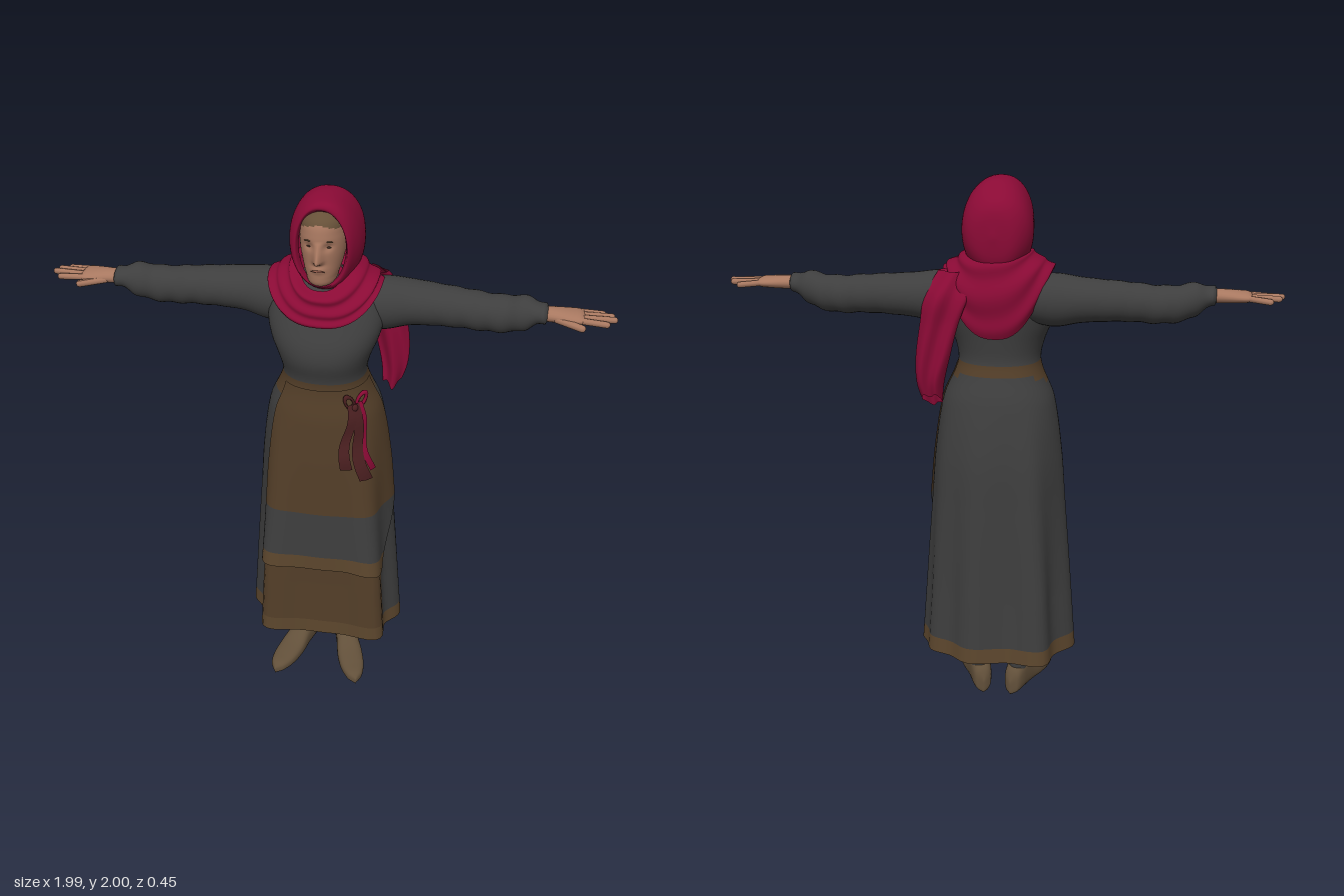
import * as THREE from 'three';
import { mergeVertices } from 'three/addons/utils/BufferGeometryUtils.js';

const mat = (name, color, side = THREE.FrontSide) => {
  const m = new THREE.MeshStandardMaterial({ color, side });
  m.name = name;
  return m;
};
const TAU = Math.PI * 2, RAD = Math.PI / 180;
const range = (a, b, n) => Array.from({ length: n + 1 }, (_, i) => a + (b - a) * i / n);
const spow = (v, e) => Math.sign(v) * Math.abs(v) ** e;
const clamp = THREE.MathUtils.clamp;

// Smooth interpolation of table rows; the first column is the ascending key
function sample(table, key) {
  let i = 0;
  while (i < table.length - 2 && key > table[i + 1][0]) i++;
  const p = table[i], q = table[i + 1];
  const o = table[Math.max(i - 1, 0)], r = table[Math.min(i + 2, table.length - 1)];
  const h = q[0] - p[0], t = clamp((key - p[0]) / h, 0, 1), t2 = t * t, t3 = t2 * t;
  return p.map((_, c) => {
    const m0 = (q[c] - o[c]) / (q[0] - o[0]) * h, m1 = (r[c] - p[c]) / (r[0] - p[0]) * h;
    return (2 * t3 - 3 * t2 + 1) * p[c] + (t3 - 2 * t2 + t) * m0 + (3 * t2 - 2 * t3) * q[c] + (t3 - t2) * m1;
  });
}

// Grid surface f(u, v) -> [x, y, z]; pick(u, v) chooses the colour group of each cell
function surface(f, us, vs, pick = () => 0) {
  const pos = vs.flatMap(v => us.flatMap(u => f(u, v)));
  const buckets = [], n = us.length;
  for (let j = 0; j < vs.length - 1; j++) for (let i = 0; i < n - 1; i++) {
    const k = pick((us[i] + us[i + 1]) / 2, (vs[j] + vs[j + 1]) / 2), a = j * n + i;
    (buckets[k] ??= []).push(a, a + n, a + 1, a + 1, a + n, a + n + 1);
  }
  let g = new THREE.BufferGeometry();
  g.setAttribute('position', new THREE.Float32BufferAttribute(pos, 3));
  g.setIndex(buckets.flat());
  let start = 0;
  buckets.forEach((b, k) => { g.addGroup(start, b.length, k); start += b.length; });
  g = mergeVertices(g);
  g.computeVertexNormals();
  return g;
}

// Copy reflected across x = 0 with corner order restored
function mirrored(geo) {
  const g = geo.clone().scale(-1, 1, 1), ix = g.index.array;
  for (let i = 0; i < ix.length; i += 3) [ix[i + 1], ix[i + 2]] = [ix[i + 2], ix[i + 1]];
  g.computeVertexNormals();
  return g;
}

// Dress rows: height, half width, front z, back z
const DRESS = [
  [0.20, 0.300, 0.200, -0.225], [0.50, 0.277, 0.195, -0.210], [0.80, 0.252, 0.190, -0.197],
  [1.00, 0.235, 0.185, -0.185], [1.20, 0.203, 0.172, -0.150], [1.30, 0.160, 0.160, -0.118],
  [1.35, 0.150, 0.162, -0.105], [1.42, 0.166, 0.182, -0.110], [1.48, 0.190, 0.176, -0.118],
  [1.55, 0.203, 0.147, -0.127], [1.62, 0.175, 0.115, -0.125], [1.68, 0.120, 0.075, -0.100],
  [1.70, 0.050, 0.040, -0.060],
];
// Skirt folds: angle in degrees, strength
const FOLDS = [[0, 0.14], [48, 0.27], [127, 0.27], [180, 0.14], [237, 0.24], [283, 0.18], [325, 0.12]];
function dressPoint(a, y, off = 0) {
  const [, w, f, b] = sample(DRESS, y);
  const swell = FOLDS.reduce((s, [d, k]) => {
    const gap = Math.acos(clamp(Math.cos(a - d * RAD), -1, 1)) / RAD;
    return s + k * Math.exp(-((gap / 16) ** 2));
  }, -0.14);
  const fold = 1 + swell * clamp((1.2 - y) / 0.75, 0, 1);
  return [
    (w * fold + off * 0.4) * spow(Math.cos(a), 0.9) + 0.005, y,
    (f + b) / 2 + ((f - b) / 2 * fold + off) * spow(Math.sin(a), 0.9),
  ];
}
const dressFront = (x, y, off) =>
  dressPoint(Math.acos(spow(x / sample(DRESS, y)[1], 1 / 0.9)), y, off);

// Head rows: height, half width, front z, back z
const HEAD = [
  [1.685, 0.012, 0.085, 0.04], [1.70, 0.044, 0.120, -0.02], [1.73, 0.056, 0.131, -0.05],
  [1.77, 0.068, 0.131, -0.07], [1.82, 0.077, 0.134, -0.08], [1.88, 0.079, 0.134, -0.08],
  [1.93, 0.070, 0.118, -0.06], [1.96, 0.020, 0.070, 0.00],
];
const bump = (x, y, cx, cy, sx, sy) => Math.exp(-(((x - cx) / sx) ** 2) - ((y - cy) / sy) ** 2);
function headPoint(a, y) {
  const [, w, f, b] = sample(HEAD, y);
  const x = w * Math.cos(a);
  let z = (f + b) / 2 + (f - b) / 2 * spow(Math.sin(a), 0.9);
  if (Math.sin(a) > 0) {
    const ridge = y > 1.797 ? clamp((1.865 - y) / 0.068, 0, 1) : clamp((y - 1.78) / 0.017, 0, 1);
    z += 0.04 * ridge * Math.exp(-((x / 0.014) ** 2)) + 0.008 * bump(x, y, 0, 1.762, 0.025, 0.012);
    z -= 0.01 * (bump(x, y, 0.032, 1.845, 0.016, 0.013) + bump(x, y, -0.032, 1.845, 0.016, 0.013));
  }
  return [x, y, z];
}

export function createModel() {
  const root = new THREE.Group();
  const D = THREE.DoubleSide;
  const grey = mat('charcoal cloth', 0x3e3e3e, D), brown = mat('brown cloth', 0x533e28, D);
  const trim = mat('trim brown', 0x5c462d, D), red = mat('crimson cloth', 0x8a0a35, D);
  const maroon = mat('dark ribbon', 0x4a1f20, D), skin = mat('skin', 0xa87860);
  const hair = mat('hair', 0x665038), shoe = mat('shoe leather', 0x62503a);
  const dark = mat('eye', 0x4a352a), lip = mat('lips', 0x8f5a4a);
  const add = (name, geo, m, parent = root) => {
    const mesh = new THREE.Mesh(geo, m);
    mesh.name = name;
    parent.add(mesh);
    return mesh;
  };
  const pair = (name, geo, m) => {
    add('left' + name, geo, m);
    add('right' + name, mirrored(geo), m);
  };
  const ring = range(0, TAU, 72);

  // Dress: bodice, waistband, skirt with front panel and hem
  add('dress', surface(dressPoint, ring, range(0.2, 1.7, 75), (a, y) => {
    if (y > 1.34) return 0;
    if (y < 0.26) return 2;
    const band = y > 1.26 + 0.05 * clamp(-Math.sin(a), 0, 1);
    return band || (a > 30 * RAD && a < 135 * RAD) ? 1 : 0;
  }), [grey, brown, trim]);

  // Apron with a grey band and a trimmed lower edge; its left edge sweeps forward at the bottom
  const apronOff = y => 0.01 + 0.018 * (1.32 - y) / 0.78;
  add('apron', surface((t, y) => {
    const first = 30 * clamp((0.8 - y) / 0.26, 0, 1);
    const a = (first + (140 - first) * t) * RAD;
    const p = dressPoint(a, y, apronOff(y));
    p[1] -= 0.03 * clamp((0.8 - y) / 0.26, 0, 1) * clamp(1 - t * 3, 0, 1);
    return p;
  }, range(0, 1, 46), range(0.54, 1.32, 39), (t, y) => (y > 0.8 ? 0 : y > 0.6 ? 1 : 2)), [brown, grey, trim]);

  // Ribbon bow at the waist
  const bow = new THREE.Group();
  bow.name = 'waistBow';
  root.add(bow);
  const ribbon = (x0, x1, y1, off, width, m) => add('ribbonTail', surface((u, t) => {
    const y = 1.27 + (y1 - 1.27) * t;
    const x = x0 + (x1 - x0) * t + 0.008 * Math.sin(t * 7) + u * width * (1 + 0.6 * t);
    return dressFront(x, y, apronOff(y) + off + 0.006 * Math.sin(t * 9));
  }, [-1, 0, 1], range(0, 1, 14)), m, bow);
  ribbon(0.12, 0.158, 0.97, 0.018, 0.012, maroon);
  ribbon(0.11, 0.098, 1.02, 0.020, 0.012, maroon);
  ribbon(0.135, 0.180, 1.0, 0.012, 0.006, red);
  for (const [x, tilt, m] of [[0.105, 0.5, maroon], [0.14, -0.5, red]]) {
    const loop = add('bowLoop', new THREE.TorusGeometry(0.024, 0.008, 8, 20), m, bow);
    loop.position.set(...dressFront(x, 1.275, 0.022));
    loop.rotation.set(0, 0.6, tilt);
    loop.scale.set(0.6, 1.2, 1);
  }
  const knot = add('bowKnot', new THREE.SphereGeometry(0.015, 12, 8), maroon, bow);
  knot.position.set(...dressFront(0.12, 1.255, 0.022));

  // Sleeves: x, centre y, centre z, vertical radius, depth radius
  const SLEEVE = [
    [0.10, 1.580, -0.040, 0.080, 0.080], [0.20, 1.577, -0.045, 0.095, 0.092],
    [0.30, 1.582, -0.055, 0.080, 0.083], [0.45, 1.580, -0.050, 0.070, 0.072],
    [0.60, 1.573, -0.045, 0.066, 0.064], [0.69, 1.590, -0.032, 0.060, 0.058],
    [0.73, 1.600, -0.022, 0.038, 0.047], [0.765, 1.603, -0.015, 0.030, 0.042],
    [0.767, 1.603, -0.015, 0.015, 0.020],
  ];
  pair('Sleeve', surface((a, x) => {
    const [, y, z, ry, rz] = sample(SLEEVE, x);
    const k = 1 + 0.04 * clamp((x - 0.3) / 0.3, 0, 1) * Math.sin(75 * x + 2 * Math.cos(a + 1));
    return [x, y + ry * k * Math.cos(a), z - rz * k * Math.sin(a)];
  }, range(0, TAU, 28), range(0.1, 0.767, 70)), grey);

  // Hands: palm, four fingers and a thumb
  const PALM = [
    [0.74, 0.025, 0.032], [0.79, 0.024, 0.038], [0.84, 0.021, 0.048],
    [0.875, 0.017, 0.048], [0.89, 0.003, 0.035],
  ];
  pair('Palm', surface((a, x) => {
    const [, ry, rz] = sample(PALM, x);
    return [x, 1.603 + ry * Math.cos(a), -0.015 - rz * Math.sin(a)];
  }, range(0, TAU, 20), range(0.74, 0.89, 14)), skin);
  const finger = (name, p, q, r) => {
    const a = new THREE.Vector3(...p), b = new THREE.Vector3(...q), d = b.clone().sub(a);
    const g = new THREE.CapsuleGeometry(r, d.length() - r, 4, 10);
    g.applyQuaternion(new THREE.Quaternion().setFromUnitVectors(new THREE.Vector3(0, 1, 0), d.normalize()));
    g.translate(...a.add(b).multiplyScalar(0.5).toArray());
    pair(name, g, skin);
  };
  [[-0.050, 0.95, -0.062, 1.596], [-0.028, 0.98, -0.036, 1.602], [-0.004, 0.99, -0.008, 1.604], [0.018, 0.965, 0.02, 1.598]]
    .forEach(([z, tip, zt, yt], i) => finger('Finger' + (i + 1), [0.865, 1.604, z], [tip, yt, zt], 0.011));
  finger('Thumb', [0.79, 1.598, 0.01], [0.885, 1.59, 0.05], 0.013);

  // Head with hair showing at the forehead
  add('head', surface(headPoint, ring, range(1.685, 1.96, 55),
    (a, y) => (y > 1.922 - 0.3 * Math.abs(0.075 * Math.cos(a)) ? 1 : 0)), [skin, hair]);
  add('neck', new THREE.CylinderGeometry(0.045, 0.05, 0.15, 20), skin).position.set(0, 1.68, 0.01);
  const dot = (name, m, x, y, sx, sy) => {
    const p = headPoint(Math.acos(x / sample(HEAD, y)[1]), y);
    const s = add(name, new THREE.SphereGeometry(1, 12, 8), m);
    s.position.set(...p);
    s.scale.set(sx, sy, 0.004);
  };
  for (const s of [-1, 1]) {
    dot('eye', dark, s * 0.032, 1.843, 0.010, 0.003);
    dot('eyebrow', hair, s * 0.034, 1.866, 0.015, 0.0025);
  }
  dot('mouth', lip, 0, 1.762, 0.024, 0.004);

  // Hood rows: step, z, half width, half height, centre y
  const HOOD = [
    [0, 0.08, 0.080, 0.130, 1.822], [1, 0.105, 0.089, 0.140, 1.828], [2, 0.085, 0.107, 0.158, 1.832],
    [3, 0.03, 0.122, 0.173, 1.826], [4, -0.05, 0.126, 0.168, 1.822], [5, -0.11, 0.110, 0.138, 1.815],
    [6, -0.148, 0.070, 0.090, 1.81], [7, -0.16, 0, 0, 1.81],
  ];
  add('hood', surface((a, t) => {
    const [, z, rx, ry, cy] = sample(HOOD, t);
    const k = 1 + 0.012 * Math.sin(t * 2.5 + 3 * a);
    return [rx * k * spow(Math.cos(a), 0.9) + 0.004, Math.min(cy + ry * k * Math.sin(a), 2), z];
  }, ring, range(0, 7, 42)), red);

  // Cowl rows: step, half width, front z, back z, y, front drop, back drop
  const COWL = [
    [0, 0.198, 0.165, -0.155, 1.682, 0.118, 0.23], [1, 0.185, 0.164, -0.170, 1.698, 0.105, 0.16],
    [2, 0.150, 0.154, -0.165, 1.718, 0.090, 0.07], [3, 0.117, 0.145, -0.145, 1.742, 0.078, 0.02],
    [4, 0.088, 0.112, -0.12, 1.75, 0.070, 0],
  ];
  add('cowl', surface((a, t) => {
    const [, w, f, b, y, df, db] = sample(COWL, t);
    const s = Math.sin(a), q = spow(s, 0.8);
    const roll = 0.005 * Math.sin(t * 5 + 2 * Math.cos(a));
    const drop = s > 0 ? df * Math.abs(s) ** 1.6 : db * Math.abs(s) ** 2.2;
    return [(w + roll) * spow(Math.cos(a), 0.8), y - drop, (f + b) / 2 + ((f - b) / 2 + roll) * q];
  }, ring, range(0, 4, 32)), red);

  // Scarf tail over the left shoulder: height, centre x, half width, centre z, half thickness
  const TAIL = [
    [1.20, 0.222, 0.032, -0.145, 0.030], [1.28, 0.230, 0.048, -0.155, 0.034], [1.38, 0.220, 0.062, -0.155, 0.032],
    [1.50, 0.197, 0.070, -0.148, 0.028], [1.60, 0.170, 0.080, -0.138, 0.028], [1.68, 0.135, 0.072, -0.090, 0.024],
  ];
  add('scarfTail', surface((a, y) => {
    const [, cx, w, cz, d] = sample(TAIL, y), c = Math.cos(a);
    const z = cz + d * Math.sin(a) + 0.012 * Math.sin(5 * c + 6 * y);
    return [cx + w * c, y + 0.9 * (cz - z) * clamp((1.4 - y) * 5, 0, 1), z];
  }, range(0, TAU, 36), range(1.22, 1.68, 30)), red);

  // Legs
  const leg = new THREE.CylinderGeometry(0.05, 0.034, 0.4, 20);
  leg.translate(0.075, 0.29, -0.038);
  pair('Leg', leg, grey);

  // Shoes: length, half width, height
  const SHOE = [
    [-0.10, 0, 0.05], [-0.09, 0.026, 0.085], [-0.06, 0.038, 0.118], [-0.02, 0.041, 0.128],
    [0.03, 0.043, 0.104], [0.10, 0.050, 0.070], [0.17, 0.045, 0.052], [0.22, 0.026, 0.040], [0.238, 0, 0.022],
  ];
  const foot = surface((a, z) => {
    const [, w, h] = sample(SHOE, z);
    return [w * spow(Math.cos(a), 0.8), h / 2 * (1 - spow(Math.sin(a), 0.7)), z];
  }, range(0, TAU, 28), range(-0.1, 0.238, 36));
  foot.rotateY(0.34).translate(0.085, 0, 0);
  pair('Shoe', foot, shoe);

  return root;
}
